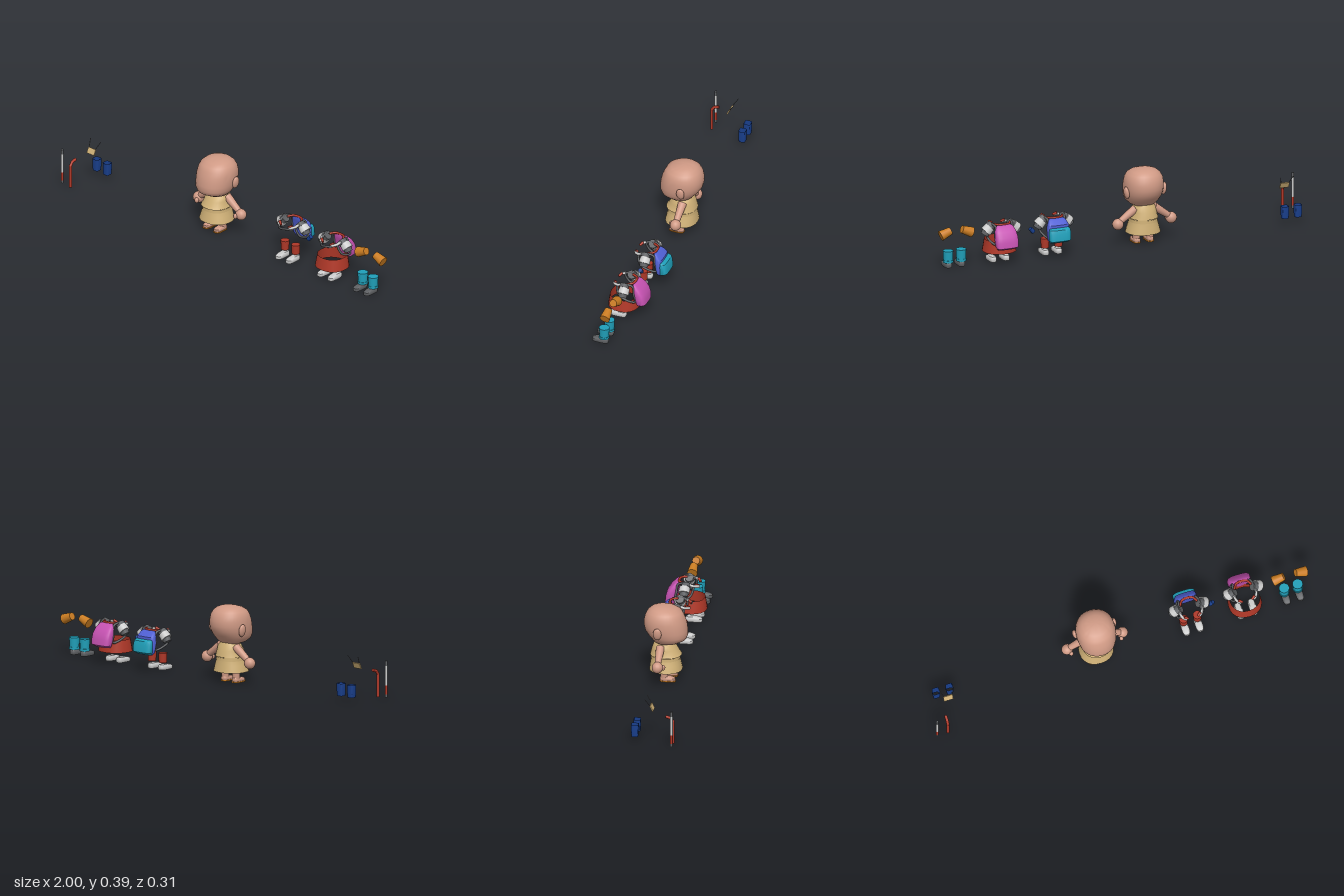
import * as THREE from 'three';
import { toCreasedNormals } from 'three/addons/utils/BufferGeometryUtils.js';

const mat = (name, color) => Object.assign(new THREE.MeshStandardMaterial({ color, side: THREE.DoubleSide }), { name });
const M = {
  skin: mat('skin', 0xd09a85), tan: mat('tan cloth', 0xd0b177), red: mat('red', 0xb03828),
  cyan: mat('cyan', 0x20a0ba), pink: mat('magenta', 0xc652b2), blue: mat('blue', 0x5060d4),
  orange: mat('orange', 0xcb7d22), navy: mat('navy', 0x193f8c), white: mat('pale grey', 0xcccccc),
  gray: mat('dark grey', 0x5e6063),
};

const V = (x, y, z) => new THREE.Vector3(x, y, z);

function add(parent, name, geo, material, x = 0, y = 0, z = 0) {
  const m = new THREE.Mesh(geo, material);
  m.name = name;
  m.position.set(x, y, z);
  parent.add(m);
  return m;
}

// Stack of rounded cross-sections, rows ascending: [y, zFront, zBack, halfWidth]
function loft(rows, { n = 24, power = 1, caps = true, crease = 0.7 } = {}) {
  const all = rows.slice();
  if (caps) {
    const flat = ([y, f, b]) => [y, (f + b) / 2, (f + b) / 2, 0];
    all.unshift(flat(rows[0]));
    all.push(flat(rows[rows.length - 1]));
  }
  const pos = [], idx = [];
  const soft = v => Math.sign(v) * Math.abs(v) ** power;
  all.forEach(([y, f, b, w], r) => {
    for (let i = 0; i < n; i++) {
      const t = (i / n) * Math.PI * 2;
      pos.push(w * soft(Math.cos(t)), y, (f + b) / 2 + ((f - b) / 2) * soft(Math.sin(t)));
      if (r === all.length - 1) continue;
      const a = r * n + i, next = r * n + (i + 1) % n;
      idx.push(a, a + n, next, next, a + n, next + n);
    }
  });
  const g = new THREE.BufferGeometry();
  g.setAttribute('position', new THREE.Float32BufferAttribute(pos, 3));
  g.setIndex(idx);
  return toCreasedNormals(g, crease);
}

// Round rod between two points
function rod(parent, name, a, b, r0, r1, material, sides = 14, open = false) {
  const g = new THREE.CylinderGeometry(r1, r0, a.distanceTo(b), sides, 1, open);
  const m = add(parent, name, g, material);
  m.position.copy(a).lerp(b, 0.5);
  m.quaternion.setFromUnitVectors(V(0, 1, 0), b.clone().sub(a).normalize());
  return m;
}

function tube(parent, name, pts, r, material, closed = false, sides = 8) {
  const curve = new THREE.CatmullRomCurve3(pts.map(p => V(...p)), closed, 'centripetal');
  return add(parent, name, new THREE.TubeGeometry(curve, 36, r, sides, closed), material);
}

function group(root, name, x) {
  const g = new THREE.Group();
  g.name = name;
  g.position.x = x;
  root.add(g);
  return g;
}

const shoeGeo = () => loft([
  [0, 0.034, -0.048, 0.017], [0.005, 0.036, -0.05, 0.019], [0.016, 0.034, -0.05, 0.019],
  [0.022, 0.022, -0.048, 0.016], [0.026, 0.0, -0.045, 0.014]], { power: 0.6, n: 20 });

function shoes(parent, material) {
  for (const s of [-1, 1]) add(parent, 'shoe', shoeGeo(), material, s * 0.035);
}

function figure(root) {
  const g = group(root, 'figure', -0.112);
  add(g, 'head', loft([
    [0.19, -0.025, -0.055, 0.02], [0.194, 0.01, -0.07, 0.045], [0.205, 0.05, -0.082, 0.068],
    [0.22, 0.077, -0.095, 0.083], [0.24, 0.085, -0.112, 0.092], [0.265, 0.084, -0.128, 0.097],
    [0.29, 0.08, -0.134, 0.099], [0.315, 0.074, -0.134, 0.098], [0.34, 0.063, -0.128, 0.094],
    [0.36, 0.052, -0.117, 0.083], [0.375, 0.027, -0.1, 0.065], [0.384, -0.003, -0.08, 0.042],
    [0.388, -0.025, -0.055, 0.016]], { n: 36, power: 0.93, crease: 1.2 }), M.skin);
  // Jacket flares over the skirt
  add(g, 'jacket', loft([
    [0.132, 0.054, -0.103, 0.074], [0.145, 0.044, -0.1, 0.068], [0.165, 0.034, -0.095, 0.063],
    [0.185, 0.02, -0.088, 0.06], [0.203, 0.005, -0.08, 0.042]], { power: 0.9 }), M.tan);
  add(g, 'skirt', loft([
    [0.055, 0.058, -0.107, 0.087], [0.09, 0.05, -0.102, 0.077], [0.115, 0.043, -0.098, 0.069],
    [0.135, 0.04, -0.096, 0.066]], { power: 0.9 }), M.tan);
  add(g, 'belt', loft([
    [0.112, 0.047, -0.1, 0.071], [0.128, 0.046, -0.099, 0.07]], { power: 0.9 }), M.tan);
  for (const s of [-1, 1]) {
    const ear = add(g, 'ear', new THREE.SphereGeometry(1, 16, 12), M.skin, s * 0.1, 0.272, -0.053);
    ear.scale.set(0.013, 0.032, 0.021);
    ear.rotation.z = -s * 0.15;
    rod(g, 'arm', V(s * 0.05, 0.182, -0.045), V(s * 0.128, 0.127, -0.045), 0.022, 0.016, M.skin);
    const hand = add(g, 'hand', new THREE.SphereGeometry(0.029, 16, 12), M.skin, s * 0.143, 0.112, -0.045);
    hand.scale.z = 0.95;
    const thumb = add(g, 'thumb', new THREE.SphereGeometry(0.011, 10, 8), M.skin, s * 0.13, 0.108, -0.018);
    thumb.scale.y = 1.3;
    rod(g, 'leg', V(s * 0.036, 0.01, -0.028), V(s * 0.036, 0.075, -0.028), 0.018, 0.021, M.skin);
    const foot = add(g, 'foot', shoeGeo(), M.skin, s * 0.036, 0.004, -0.004);
    foot.scale.set(0.98, 0.85, 0.9);
    add(g, 'sole', loft([[0, 0.03, -0.05, 0.02], [0.006, 0.03, -0.05, 0.02]], { power: 0.6 }), M.orange, s * 0.036);
  }
}

// Backpack harness shared by two outfits
function harness(g) {
  for (const s of [-1, 1]) {
    tube(g, 'strapLoop', [
      [s * 0.045, 0.195, -0.085], [s * 0.055, 0.205, -0.045], [s * 0.052, 0.193, -0.01],
      [s * 0.066, 0.145, -0.02], [s * 0.066, 0.122, -0.06], [s * 0.05, 0.11, -0.102],
      [s * 0.05, 0.15, -0.094]], 0.006, M.gray, true);
    tube(g, 'frontStrap', [
      [s * 0.055, 0.2, -0.03], [s * 0.054, 0.194, -0.01], [s * 0.045, 0.19, 0.008],
      [s * 0.032, 0.185, 0.016]], 0.007, M.white);
    rod(g, 'strapTip', V(s * 0.042, 0.198, 0.004), V(s * 0.024, 0.188, 0.015), 0.007, 0.006, M.red);
    rod(g, 'shoulderBand', V(s * 0.045, 0.199, -0.045), V(s * 0.062, 0.186, -0.045), 0.022, 0.025, M.gray);
    rod(g, 'shoulderGuard', V(s * 0.06, 0.188, -0.05), V(s * 0.083, 0.165, -0.05), 0.026, 0.029, M.white);
    rod(g, 'sleeveCuff', V(s * 0.078, 0.168, -0.05), V(s * 0.09, 0.15, -0.05), 0.024, 0.02, M.gray);
  }
  tube(g, 'backCollar', [
    [-0.045, 0.202, -0.055], [-0.025, 0.204, -0.082], [0.025, 0.204, -0.082],
    [0.045, 0.202, -0.055]], 0.006, M.red);
}

const PACK = [
  [0.085, -0.104, -0.132, 0.045], [0.098, -0.1, -0.154, 0.057], [0.125, -0.095, -0.151, 0.059],
  [0.15, -0.09, -0.144, 0.058], [0.175, -0.085, -0.127, 0.054], [0.195, -0.08, -0.106, 0.045],
  [0.202, -0.082, -0.096, 0.036]];

function outfits(root) {
  // Blue and cyan pack, red shins
  const a = group(root, 'bluePackOutfit', 0.38);
  harness(a);
  add(a, 'packBody', loft(PACK.map(([y, f, b, w]) => [y, f, Math.max(b, -0.128), w]), { power: 0.6 }), M.blue);
  add(a, 'packPocket', loft([
    [0.087, -0.112, -0.135, 0.046], [0.1, -0.112, -0.157, 0.056], [0.135, -0.112, -0.154, 0.057],
    [0.155, -0.112, -0.147, 0.054], [0.162, -0.112, -0.135, 0.048]], { power: 0.6 }), M.cyan);
  rod(a, 'pouch', V(0.105, 0.13, -0.045), V(0.123, 0.15, -0.045), 0.011, 0.011, M.navy);
  shoes(a, M.white);
  for (const s of [-1, 1])
    rod(a, 'shinGuard', V(s * 0.036, 0.036, -0.027), V(s * 0.036, 0.085, -0.027), 0.02, 0.022, M.red);

  // Magenta pack, red skirt
  const b = group(root, 'magentaPackOutfit', 0.662);
  harness(b);
  add(b, 'pack', loft(PACK, { power: 0.6 }), M.pink);
  add(b, 'wrapSkirt', loft([
    [0.055, 0.053, -0.106, 0.084], [0.085, 0.049, -0.103, 0.079], [0.118, 0.043, -0.099, 0.074]],
  { power: 0.9, caps: false }), M.red);
  shoes(b, M.white);

  // Orange shoulder pieces, cyan boots
  const c = group(root, 'bootOutfit', 0.902);
  shoes(c, M.gray);
  for (const s of [-1, 1]) {
    rod(c, 'boot', V(s * 0.035, 0.025, -0.027), V(s * 0.035, 0.086, -0.027), 0.023, 0.026, M.cyan, 16);
    rod(c, 'bootBand', V(s * 0.035, 0.026, -0.027), V(s * 0.035, 0.038, -0.027), 0.026, 0.026, M.cyan, 16);
    rod(c, 'shoulderSleeve', V(s * 0.03, 0.194, -0.048), V(s * 0.084, 0.173, -0.048), 0.019, 0.026, M.orange, 16);
  }
}

function accessories(root) {
  // Straight staff in coloured sections
  const g = group(root, 'accessories', 0);
  [[0.01, 0.025, 'gray'], [0.025, 0.07, 'red'], [0.07, 0.17, 'white'], [0.17, 0.195, 'gray']].forEach(([y0, y1, c]) =>
    rod(g, 'staffSection', V(-0.993, y0, 0.148), V(-0.993, y1, 0.148), 0.007, 0.007, M[c], 10));
  // Bent cane
  const path = [V(-0.938, 0.005, 0.148), V(-0.938, 0.12, 0.148), V(-0.938, 0.138, 0.135), V(-0.938, 0.145, 0.11)];
  for (let i = 0; i < 3; i++) {
    rod(g, 'caneSection', path[i], path[i + 1], 0.0075, 0.0075, M.red, 10);
    if (i) add(g, 'caneJoint', new THREE.SphereGeometry(0.0075, 10, 8), M.red, ...path[i].toArray());
  }
  // Square leg wraps, open at both ends
  for (const x of [-0.937, -0.867])
    add(g, 'legWrap', loft([
      [0.03, -0.028, -0.06, 0.016], [0.06, -0.027, -0.062, 0.018], [0.093, -0.026, -0.062, 0.018]],
    { power: 0.35, n: 16, caps: false }), M.navy, x);
  // Bib hung on two cords
  const bib = add(g, 'bib', new THREE.BoxGeometry(0.048, 0.031, 0.006), M.tan, -0.9, 0.174, 0.036);
  bib.rotation.x = -0.45;
  for (const s of [-1, 1])
    rod(g, 'bibCord', V(-0.9 + s * 0.021, 0.187, 0.03), V(-0.9 + s * 0.034, 0.225, 0.005), 0.0018, 0.0018, M.gray, 6);
}

export function createModel() {
  const root = new THREE.Group();
  root.name = 'figureWithOutfits';
  figure(root);
  outfits(root);
  accessories(root);
  return root;
}
